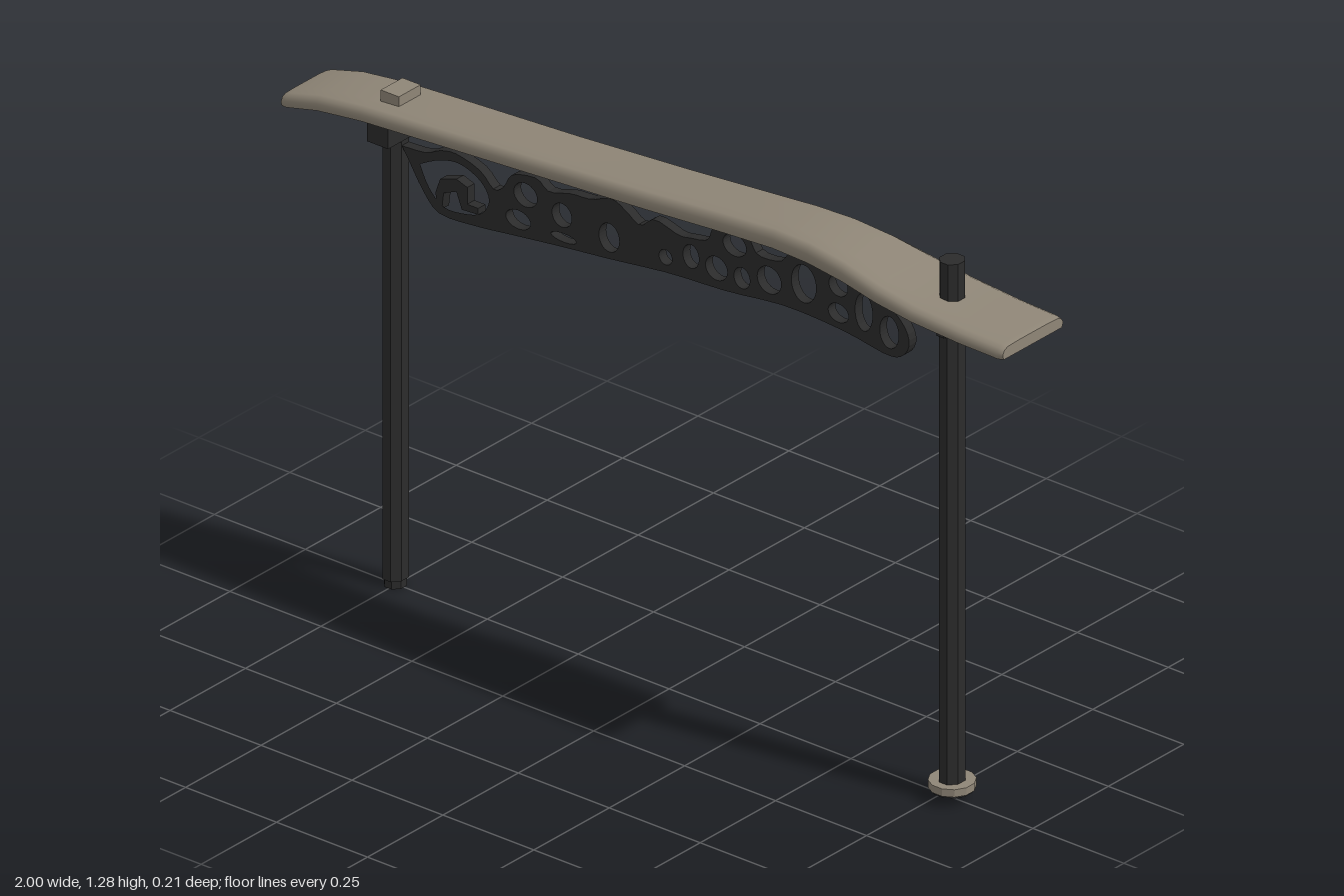
import * as THREE from 'three';

const taupe = new THREE.MeshStandardMaterial({ color: 0x8f8677 });
taupe.name = 'weathered taupe';
const dark = new THREE.MeshStandardMaterial({ color: 0x2b2b2b });
dark.name = 'dark iron';

const v2 = (list) => list.map(([x, y]) => new THREE.Vector2(x, y));

function add(group, name, geometry, material, x = 0, y = 0, z = 0) {
  const mesh = new THREE.Mesh(geometry, material);
  mesh.name = name;
  mesh.position.set(x, y, z);
  group.add(mesh);
  return mesh;
}

// Upright prism with flat sides facing the axes, sized by its full width and depth
function prism(width, depth, height, sides = 8, taper = 1) {
  const r = 0.5 / Math.cos(Math.PI / sides);
  const g = new THREE.CylinderGeometry(r, r * taper, height, sides, 1).toNonIndexed();
  g.rotateY(Math.PI / sides);
  g.scale(width, 1, depth);
  g.computeVertexNormals();
  return g;
}

// Beam stations along x: [x, underside y, thickness, half width]
const stations = [
  [-1, 1.09, 0.027, 0.08], [-0.985, 1.092, 0.032, 0.083], [-0.9, 1.113, 0.034, 0.084],
  [-0.78, 1.128, 0.034, 0.084], [-0.6, 1.139, 0.035, 0.083], [-0.3, 1.156, 0.037, 0.08],
  [0, 1.175, 0.04, 0.08], [0.2, 1.19, 0.042, 0.08], [0.35, 1.2, 0.044, 0.082],
  [0.45, 1.2, 0.045, 0.087], [0.55, 1.192, 0.043, 0.094], [0.65, 1.177, 0.039, 0.102],
  [0.75, 1.166, 0.035, 0.105], [0.88, 1.158, 0.033, 0.104], [0.985, 1.155, 0.033, 0.102],
  [1, 1.157, 0.028, 0.099],
];
// Cross-section from front edge over the top: [share of half width, share of thickness]
const upper = [[0.97, 0], [1, 0.25], [1, 0.5], [0.95, 0.78], [0.84, 0.95], [0.5, 1],
  [-0.5, 1], [-0.84, 0.95], [-0.95, 0.78], [-1, 0.5], [-1, 0.25], [-0.97, 0]];
const lower = [[-0.97, 0], [0.97, 0]];

function sectionPoints(section, [x, y, t, w]) {
  return section.flatMap(([u, v]) => [x, y + v * t, u * w]);
}

function toGeometry(positions, index) {
  const g = new THREE.BufferGeometry();
  g.setAttribute('position', new THREE.Float32BufferAttribute(positions, 3));
  g.setIndex(index);
  g.computeVertexNormals();
  return g;
}

function loft(section) {
  const n = section.length, index = [];
  for (let i = 0; i < stations.length - 1; i++) {
    for (let j = 0; j < n - 1; j++) {
      const a = i * n + j, b = a + n;
      index.push(a, b, a + 1, b, b + 1, a + 1);
    }
  }
  return toGeometry(stations.flatMap((s) => sectionPoints(section, s)), index);
}

function endCap(station, facesRight) {
  const index = [];
  for (let j = 1; j < upper.length - 1; j++) {
    index.push(0, facesRight ? j + 1 : j, facesRight ? j : j + 1);
  }
  return toGeometry(sectionPoints(upper, station), index);
}

// Pierced ornament outline
const outline = [
  [-0.725, 1.06], [-0.66, 1.065], [-0.62, 1.083], [-0.575, 1.09], [-0.51, 1.072], [-0.472, 1.04],
  [-0.445, 1.055], [-0.42, 1.092], [-0.355, 1.105], [-0.32, 1.085], [-0.26, 1.1], [-0.205, 1.105],
  [-0.15, 1.125], [-0.11, 1.11], [-0.07, 1.088], [-0.03, 1.115], [0.035, 1.1], [0.07, 1.104],
  [0.115, 1.115], [0.135, 1.155], [0.19, 1.17], [0.23, 1.155], [0.255, 1.125], [0.315, 1.13],
  [0.345, 1.158], [0.435, 1.175], [0.53, 1.162], [0.605, 1.13], [0.655, 1.09], [0.67, 1.05],
  [0.65, 1.015], [0.605, 1.005], [0.49, 1.022], [0.33, 1.028], [0.17, 1.01], [0.01, 1.0],
  [-0.15, 0.98], [-0.285, 0.965], [-0.42, 0.948], [-0.525, 0.935], [-0.62, 0.932], [-0.665, 0.97],
  [-0.705, 1.03],
];
const scrollHole = [
  [-0.675, 1.033], [-0.62, 1.06], [-0.565, 1.069], [-0.51, 1.048], [-0.485, 1.01],
  [-0.505, 0.972], [-0.55, 0.955], [-0.61, 0.952], [-0.65, 0.985],
];
// Oval openings: [x, y, x radius, y radius]
const ovals = [
  [-0.385, 1.055, 0.032, 0.028], [-0.405, 0.99, 0.034, 0.022], [-0.285, 1.04, 0.027, 0.028],
  [-0.28, 0.988, 0.035, 0.01], [-0.155, 1.03, 0.028, 0.034], [0, 1.035, 0.018, 0.018],
  [0.07, 1.06, 0.022, 0.028], [0.19, 1.127, 0.032, 0.026], [0.14, 1.055, 0.03, 0.028],
  [0.21, 1.055, 0.022, 0.025], [0.285, 1.075, 0.033, 0.032], [0.38, 1.098, 0.034, 0.045],
  [0.475, 1.125, 0.026, 0.025], [0.475, 1.06, 0.028, 0.022], [0.545, 1.085, 0.024, 0.045],
  [0.615, 1.06, 0.026, 0.038],
];

function ornament() {
  const curve = (pts, count) => new THREE.SplineCurve(v2([...pts, pts[0]])).getPoints(count);
  const shape = new THREE.Shape(curve(outline, 130));
  shape.holes.push(new THREE.Path(curve(scrollHole, 36)));
  for (const [x, y, rx, ry] of ovals) {
    shape.holes.push(new THREE.Path().absellipse(x, y, rx, ry, 0, Math.PI * 2));
  }
  return new THREE.ExtrudeGeometry(shape, { depth: 0.024, bevelEnabled: false, curveSegments: 14 });
}

// Small arch standing inside the left scroll
function innerArch() {
  const arch = new THREE.Shape(v2([
    [-0.63, 0.945], [-0.615, 0.945], [-0.61, 0.985], [-0.575, 1.0], [-0.56, 0.962], [-0.515, 0.965],
    [-0.515, 0.98], [-0.545, 0.98], [-0.545, 1.02], [-0.575, 1.03], [-0.62, 1.015], [-0.632, 0.98],
  ]));
  return new THREE.ExtrudeGeometry(arch, { depth: 0.024, bevelEnabled: false });
}

export function createModel() {
  const model = new THREE.Group();
  model.name = 'archway';

  // Crossbeam with a dark underside
  const beam = new THREE.Group();
  beam.name = 'crossbeam';
  model.add(beam);
  add(beam, 'beamTop', loft(upper), taupe);
  add(beam, 'beamUnderside', loft(lower), dark);
  add(beam, 'beamRightEnd', endCap(stations[0], false), taupe);
  add(beam, 'beamLeftEnd', endCap(stations[stations.length - 1], true), taupe);

  // Hanging openwork
  add(model, 'openworkPanel', ornament(), dark, 0, 0, -0.012);
  add(model, 'openworkArch', innerArch(), dark, 0, 0, -0.012);

  // Post with a plain foot, a bracket and a wedge peg through the beam
  const rightPost = new THREE.Group();
  rightPost.name = 'rightPost';
  rightPost.position.x = -0.752;
  model.add(rightPost);
  add(rightPost, 'post', prism(0.052, 0.06, 1.115), dark, 0, 0.5775);
  add(rightPost, 'postTip', prism(0.046, 0.05, 0.02), dark, 0, 0.01);
  add(rightPost, 'bracket', new THREE.BoxGeometry(0.058, 0.06, 0.125), dark, 0.002, 1.103);
  add(rightPost, 'peg', new THREE.BoxGeometry(0.05, 0.07, 0.072), taupe, 0.014, 1.155);

  // Taller post that passes through the beam and stands on a disc
  const leftPost = new THREE.Group();
  leftPost.name = 'leftPost';
  leftPost.position.x = 0.778;
  model.add(leftPost);
  add(leftPost, 'post', prism(0.053, 0.06, 1.12), dark, 0, 0.6);
  add(leftPost, 'bracket', prism(0.054, 0.095, 0.05, 8, 0.85), dark, 0, 1.14);
  add(leftPost, 'postHead', prism(0.052, 0.054, 0.135), dark, 0, 1.2175);
  add(leftPost, 'footDisc', prism(0.1, 0.1, 0.018, 12), taupe, 0, 0.036);
  add(leftPost, 'footDiscUnderside', prism(0.092, 0.092, 0.007, 12), dark, 0, 0.0255);

  return model;
}
